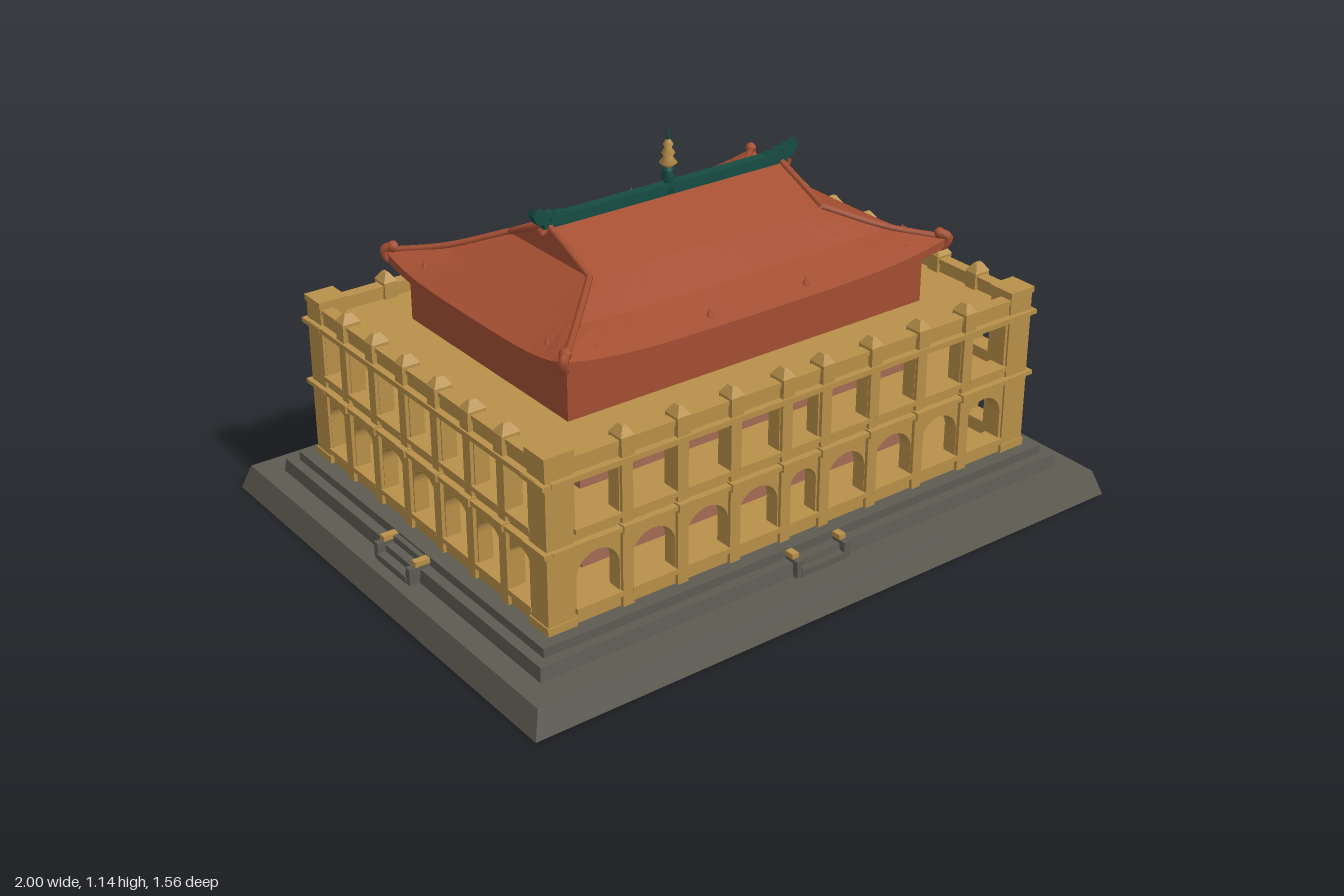
import * as THREE from 'three';

const mat = (name, color) => {
  const m = new THREE.MeshStandardMaterial({ color });
  m.name = name;
  return m;
};

export function createModel() {
  const tan = mat('ochre plaster', 0xb89049);
  const red = mat('red roof tile', 0xa34e31);
  const grey = mat('grey stone', 0x5e5b52);
  const teal = mat('teal glaze', 0x164b42);
  const pink = mat('rose inner wall', 0xa36b55);

  const model = new THREE.Group();
  model.name = 'hall';
  const group = (name, parent = model) => {
    const g = new THREE.Group();
    g.name = name;
    parent.add(g);
    return g;
  };
  const add = (parent, name, geo, m, x = 0, y = 0, z = 0) => {
    const mesh = new THREE.Mesh(geo, m);
    mesh.name = name;
    mesh.position.set(x, y, z);
    parent.add(mesh);
    return mesh;
  };
  // box given by its bottom and top heights
  const box = (p, name, m, w, y0, y1, d, x = 0, z = 0) =>
    add(p, name, new THREE.BoxGeometry(w, y1 - y0, d), m, x, (y0 + y1) / 2, z);
  // box whose top is drawn in by an inset
  const taper = (p, name, m, w, y0, y1, d, inset, x = 0, z = 0) => {
    const geo = new THREE.BoxGeometry(w, y1 - y0, d).toNonIndexed();
    const a = geo.attributes.position;
    for (let i = 0; i < a.count; i++) if (a.getY(i) > 0) {
      a.setX(i, a.getX(i) - Math.sign(a.getX(i)) * inset);
      a.setZ(i, a.getZ(i) - Math.sign(a.getZ(i)) * inset);
    }
    geo.computeVertexNormals();
    return add(p, name, geo, m, x, (y0 + y1) / 2, z);
  };
  const tube = (p, name, m, pts, r, n = 16) => add(p, name, new THREE.TubeGeometry(
    new THREE.CatmullRomCurve3(pts.map(q => new THREE.Vector3(...q))), n, r, 6), m);

  // Stepped stone base
  const base = group('base');
  taper(base, 'lowerStep', grey, 2, 0, 0.075, 1.56, 0.025);
  taper(base, 'middleStep', grey, 1.82, 0.07, 0.115, 1.34, 0.005);
  box(base, 'upperStep', grey, 1.75, 0.11, 0.142, 1.27);

  // Inner rooms, floors and flat deck
  const body = group('body');
  box(body, 'innerWalls', pink, 1.17, 0.14, 0.57, 0.77);
  box(body, 'galleryPaving', tan, 1.64, 0.138, 0.146, 1.17);
  box(body, 'upperFloor', tan, 1.64, 0.36, 0.385, 1.17);
  box(body, 'roofDeck', tan, 1.64, 0.556, 0.585, 1.17);

  // One arcaded facade facing +z; bays are [centre, half width] pairs
  function facade(name, length, bays, piers, dist) {
    const g = group(name);
    const s = new THREE.Shape();
    s.moveTo(-length / 2, 0.14); s.lineTo(length / 2, 0.14);
    s.lineTo(length / 2, 0.575); s.lineTo(-length / 2, 0.575);
    s.closePath();
    for (const [c, w] of bays) {
      const arch = new THREE.Path();
      arch.moveTo(c - w, 0.188); arch.lineTo(c + w, 0.188);
      arch.lineTo(c + w, 0.337 - w);
      arch.absarc(c, 0.337 - w, w, 0, Math.PI, false);
      arch.closePath();
      const win = new THREE.Path();
      win.moveTo(c - w, 0.42); win.lineTo(c + w, 0.42);
      win.lineTo(c + w, 0.55); win.lineTo(c - w, 0.55);
      win.closePath();
      s.holes.push(arch, win);
      // balustrade rails
      box(g, 'lowerRail', tan, 2 * w + 0.01, 0.175, 0.19, 0.06, c, dist - 0.024);
      box(g, 'upperRail', tan, 2 * w + 0.01, 0.408, 0.422, 0.06, c, dist - 0.024);
    }
    add(g, 'arcadeWall', new THREE.ExtrudeGeometry(s,
      { depth: 0.045, bevelEnabled: false, curveSegments: 10 }), tan, 0, 0, dist - 0.05);
    box(g, 'floorLedge', tan, length + 0.02, 0.372, 0.385, 0.03, 0, dist);
    box(g, 'cornice', tan, length + 0.02, 0.565, 0.58, 0.03, 0, dist);
    box(g, 'parapet', tan, length, 0.575, 0.622, 0.03, 0, dist - 0.02);
    box(g, 'parapetCoping', tan, length, 0.612, 0.626, 0.038, 0, dist - 0.02);
    for (const x of piers) {
      box(g, 'pilaster', tan, 0.034, 0.14, 0.58, 0.055, x, dist - 0.022);
      box(g, 'pilasterCap', tan, 0.04, 0.575, 0.635, 0.055, x, dist - 0.018);
      taper(g, 'capPoint', tan, 0.044, 0.635, 0.66, 0.055, 0.017, x, dist - 0.018);
      box(g, 'ledgeBlock', tan, 0.045, 0.367, 0.39, 0.03, x, dist + 0.006);
    }
    return g;
  }
  const mirror = list => [...list, ...list.map(v => Array.isArray(v) ? [-v[0], v[1]] : -v)];
  const longBays = [[0, 0.046], ...mirror([[0.155, 0.067], [0.325, 0.07], [0.5, 0.069], [0.675, 0.067]])];
  const longPiers = mirror([0.068, 0.24, 0.413, 0.588]);
  const sideBays = [[0, 0.06], ...mirror([[0.162, 0.06], [0.32, 0.058], [0.465, 0.052]])];
  const sidePiers = mirror([0.081, 0.241, 0.398]);
  facade('frontFacade', 1.62, longBays, longPiers, 0.595);
  facade('backFacade', 1.62, longBays, longPiers, 0.595).rotation.y = Math.PI;
  facade('leftFacade', 1.12, sideBays, sidePiers, 0.83).rotation.y = Math.PI / 2;
  facade('rightFacade', 1.12, sideBays, sidePiers, 0.83).rotation.y = -Math.PI / 2;

  // Corner piers
  for (const sx of [-1, 1]) for (const sz of [-1, 1]) {
    const c = group('cornerPier');
    c.position.set(sx * 0.792, 0, sz * 0.557);
    box(c, 'shaft', tan, 0.082, 0.14, 0.645, 0.078);
    box(c, 'footing', tan, 0.09, 0.14, 0.165, 0.086);
    box(c, 'cap', tan, 0.09, 0.632, 0.65, 0.086);
    for (const y of [0.372, 0.565]) box(c, 'band', tan, 0.11, y, y + 0.013, 0.1);
  }

  // Short stair with cheek walls in the middle of each side
  for (const [turn, dist] of [[0, 0.6], [1, 0.855], [2, 0.6], [3, 0.855]]) {
    const st = group('stair');
    st.rotation.y = turn * Math.PI / 2;
    for (let i = 0; i < 3; i++)
      box(st, 'tread', grey, 0.15, 0.07, 0.135 - i * 0.02, 0.03, 0, dist + 0.02 + i * 0.026);
    for (const s of [-1, 1]) {
      box(st, 'cheekWall', grey, 0.02, 0.07, 0.125, 0.08, s * 0.083, dist + 0.045);
      box(st, 'cheekCoping', tan, 0.022, 0.125, 0.14, 0.06, s * 0.083, dist + 0.035);
    }
  }

  // Roof
  const roof = group('roof');
  roof.position.z = -0.012;
  box(roof, 'drum', red, 1.22, 0.58, 0.73, 0.77);

  // Hipped skirt: rows of [half x, half z, height, corner lift] from soffit to gable foot
  const rows = [[0.6, 0.38, 0.722, 0], [0.655, 0.44, 0.726, 0.035], [0.655, 0.44, 0.748, 0.04],
    [0.53, 0.315, 0.798, 0.01], [0.4, 0.19, 0.86, 0]];
  const N = 16, pos = [];
  const point = (side, [hx, hz, y, lift], s) => {
    const h = y + lift * s ** 4;
    return [[s * hx, h, hz], [hx, h, -s * hz], [-s * hx, h, -hz], [-hx, h, s * hz]][side];
  };
  for (let side = 0; side < 4; side++) for (let j = 0; j < rows.length - 1; j++)
    for (let i = 0; i < N; i++) {
      const s0 = -1 + 2 * i / N, s1 = s0 + 2 / N;
      const a = point(side, rows[j], s0), b = point(side, rows[j], s1);
      const c = point(side, rows[j + 1], s1), d = point(side, rows[j + 1], s0);
      pos.push(...a, ...b, ...c, ...a, ...c, ...d);
    }
  const skirt = new THREE.BufferGeometry();
  skirt.setAttribute('position', new THREE.Float32BufferAttribute(pos, 3));
  skirt.computeVertexNormals();
  add(roof, 'roofSkirt', skirt, red);

  // Upper gabled part
  const tri = new THREE.Shape();
  tri.moveTo(-0.19, 0.86); tri.lineTo(0.19, 0.86); tri.lineTo(0, 0.945);
  tri.closePath();
  const gable = new THREE.ExtrudeGeometry(tri, { depth: 0.8, bevelEnabled: false });
  gable.translate(0, 0, -0.4).rotateY(Math.PI / 2);
  add(roof, 'gableRoof', gable, red);

  // Verge and hip ridges with upturned corner horns
  for (const sx of [-1, 1]) for (const sz of [-1, 1]) {
    const at = pts => pts.map(([x, y, z]) => [sx * x, y, sz * z]);
    tube(roof, 'vergeRidge', red, at([[0.4, 0.946, 0], [0.4, 0.906, 0.095], [0.4, 0.864, 0.19]]), 0.01);
    tube(roof, 'hipRidge', red, at([[0.4, 0.864, 0.19], [0.53, 0.812, 0.315], [0.65, 0.788, 0.435]]), 0.01);
    tube(roof, 'cornerHorn', red,
      at([[0.625, 0.755, 0.41], [0.65, 0.765, 0.432], [0.655, 0.79, 0.438], [0.638, 0.802, 0.422]]), 0.014);
    add(roof, 'hornTip', new THREE.SphereGeometry(0.017, 8, 6), red, sx * 0.638, 0.8, sz * 0.422);
    tube(roof, 'gableCurl', red, at([[0.4, 0.945, 0.005], [0.425, 0.928, 0.005], [0.432, 0.945, 0.005]]), 0.008);
  }
  // Small tile knobs above the eaves
  const knob = new THREE.ConeGeometry(0.014, 0.035, 6);
  for (const sz of [-1, 1]) for (const x of [-0.53, -0.165, 0.165, 0.53])
    add(roof, 'tileKnob', knob, red, x, 0.772, sz * 0.4);
  for (const sx of [-1, 1]) for (const z of [-0.3, 0.3])
    add(roof, 'tileKnob', knob, red, sx * 0.61, 0.778, z);

  // Glazed main ridge with jagged scroll ends
  const ridge = group('mainRidge', roof);
  box(ridge, 'ridgeBar', teal, 0.84, 0.94, 0.966, 0.024);
  box(ridge, 'ridgeCap', teal, 0.8, 0.963, 0.973, 0.032);
  const scroll = new THREE.Shape();
  [[0.3, 0.955], [0.4, 0.95], [0.44, 0.958], [0.455, 0.985], [0.448, 1.003], [0.43, 0.988],
    [0.42, 0.995], [0.405, 0.982], [0.39, 0.988], [0.375, 0.976], [0.355, 0.981], [0.34, 0.97]]
    .forEach(([x, y], i) => i ? scroll.lineTo(x, y) : scroll.moveTo(x, y));
  scroll.closePath();
  const scrollGeo = new THREE.ExtrudeGeometry(scroll, { depth: 0.026, bevelEnabled: false });
  scrollGeo.translate(0, 0, -0.013);
  add(ridge, 'leftScroll', scrollGeo, teal);
  add(ridge, 'rightScroll', scrollGeo, teal).rotation.y = Math.PI;

  // Finial
  const lathe = (name, m, pts) => add(ridge, name,
    new THREE.LatheGeometry(pts.map(p => new THREE.Vector2(...p)), 12), m);
  lathe('finialBase', teal, [[0, 0.945], [0.016, 0.945], [0.012, 0.975], [0.02, 0.99], [0.012, 1.005], [0.016, 1.015], [0, 1.03]]);
  lathe('finialBody', tan, [[0, 1.018], [0.012, 1.02], [0.026, 1.032], [0.012, 1.05], [0.02, 1.06], [0.01, 1.075], [0.015, 1.085], [0.006, 1.1], [0, 1.11]]);
  lathe('finialSpike', teal, [[0, 1.09], [0.006, 1.1], [0.004, 1.12], [0, 1.14]]);

  return model;
}
